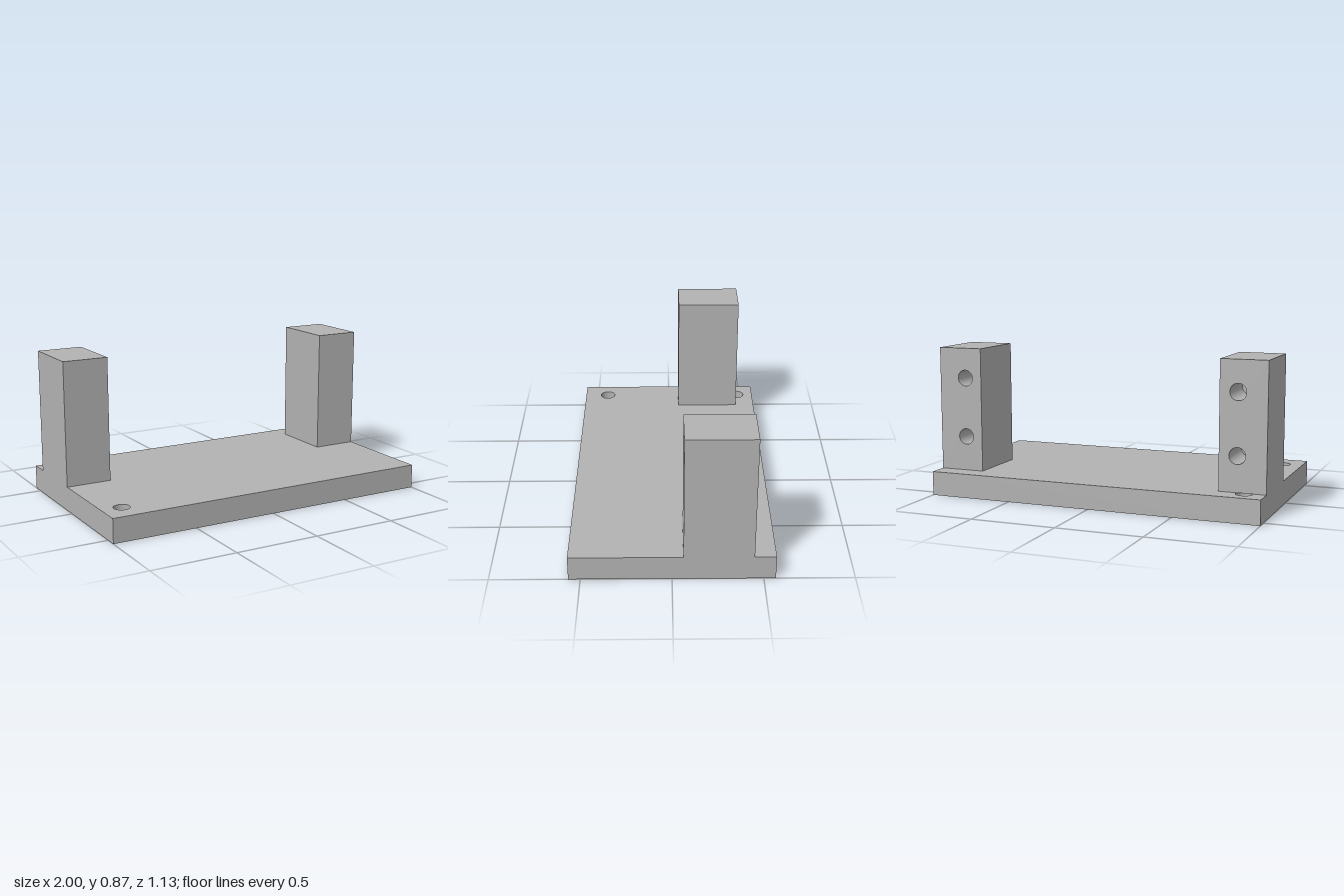
import * as THREE from 'three';
import { toCreasedNormals } from 'three/addons/utils/BufferGeometryUtils.js';

const HOLE_RADIUS = 0.047;

// Rectangular slab with round holes, extruded along +z
function drilledSlab(x0, y0, x1, y1, depth, holes) {
  const shape = new THREE.Shape([
    new THREE.Vector2(x0, y0), new THREE.Vector2(x1, y0),
    new THREE.Vector2(x1, y1), new THREE.Vector2(x0, y1),
  ]);
  for (const [x, y] of holes) {
    shape.holes.push(new THREE.Path().absarc(x, y, HOLE_RADIUS, 0, Math.PI * 2, true));
  }
  const geometry = new THREE.ExtrudeGeometry(shape, { depth, bevelEnabled: false, curveSegments: 32 });
  return toCreasedNormals(geometry, 0.6);
}

export function createModel() {
  const model = new THREE.Group();
  model.name = 'mountingBracket';
  const grey = new THREE.MeshStandardMaterial({ color: 0xb2b2b2 });
  grey.name = 'grey';

  const add = (name, geometry, parent) => {
    const mesh = new THREE.Mesh(geometry, grey);
    mesh.name = name;
    parent.add(mesh);
    return mesh;
  };

  // Base plate with two through holes near its right end
  const plateTop = 0.142, plateHalfDepth = 0.566;
  const plate = drilledSlab(-1, -plateHalfDepth, 1, plateHalfDepth, plateTop, [[-0.88, -0.418], [-0.88, 0.46]]);
  plate.rotateX(-Math.PI / 2);
  add('basePlate', plate, model);

  // Two posts, each with a pair of blind holes in its back face
  const postWidth = 0.27, postTop = 0.872, backZ = -0.447, frontZ = -0.062, holeDepth = 0.25;
  for (const side of [-1, 1]) {
    const post = new THREE.Group();
    post.name = side > 0 ? 'leftPost' : 'rightPost';
    const outer = side, inner = side * (1 - postWidth);
    const x0 = Math.min(outer, inner), x1 = Math.max(outer, inner);

    const back = drilledSlab(x0, plateTop, x1, postTop, holeDepth, [[side * 0.834, 0.345], [side * 0.834, 0.695]]);
    add('drilledBack', back, post).position.z = backZ;

    const solidDepth = frontZ - backZ - holeDepth;
    const front = new THREE.BoxGeometry(postWidth, postTop - plateTop, solidDepth);
    add('solidFront', front, post).position.set((x0 + x1) / 2, (plateTop + postTop) / 2, frontZ - solidDepth / 2);
    model.add(post);
  }
  return model;
}
